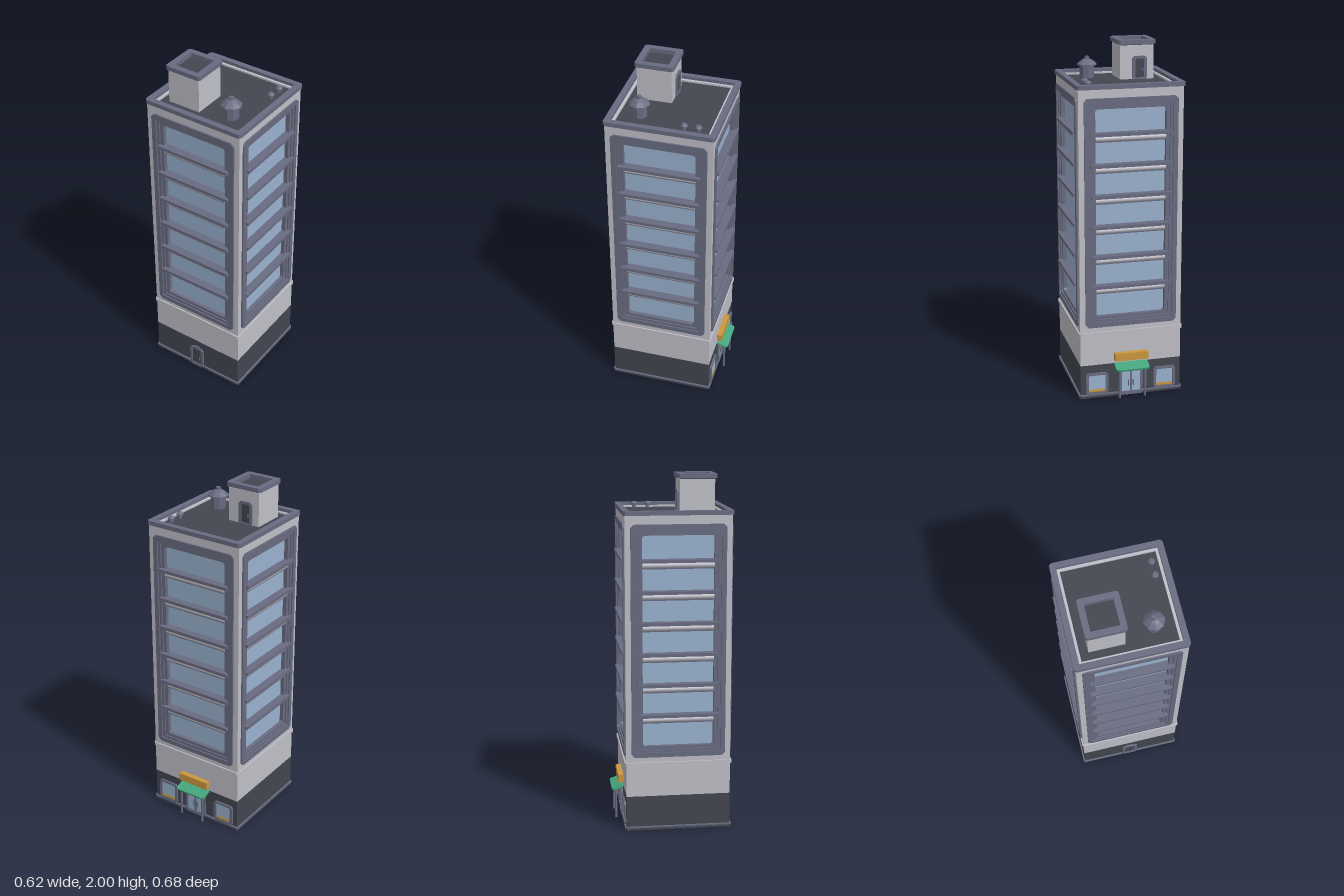
import * as THREE from 'three';

const mat = (name, color) => {
  const m = new THREE.MeshStandardMaterial({ color });
  m.name = name;
  return m;
};

export function createModel() {
  const trim = mat('slate trim', 0x696c81);
  const wall = mat('pale wall', 0xc0bfc8);
  const dark = mat('charcoal', 0x42464f);
  const glass = mat('blue glass', 0x9ab2cf);
  const green = mat('awning green', 0x45a57c);
  const gold = mat('sign gold', 0xcb983f);

  const root = new THREE.Group();
  root.name = 'tower';
  const building = new THREE.Group();
  building.name = 'building';
  building.position.z = 0.025;
  root.add(building);

  const add = (parent, name, geo, material, x = 0, y = 0, z = 0) => {
    const m = new THREE.Mesh(geo, material);
    m.name = name;
    m.position.set(x, y, z);
    parent.add(m);
    return m;
  };
  const box = (parent, name, w, h, d, material, x, y, z) =>
    add(parent, name, new THREE.BoxGeometry(w, h, d), material, x, y, z);

  // Rectangle with cut corners, as points
  const cutRect = (w, h, c) => {
    const a = w / 2, b = h / 2;
    return [[-a + c, -b], [a - c, -b], [a, -b + c], [a, b - c], [a - c, b], [-a + c, b], [-a, b - c], [-a, -b + c]]
      .map(p => new THREE.Vector2(...p));
  };
  // Cut-corner ring (or plate when there is no hole), extruded toward +z
  const ring = (w, h, c, hw, hh, hc, depth) => {
    const s = new THREE.Shape(cutRect(w, h, c));
    if (hw) s.holes.push(new THREE.Path(cutRect(hw, hh, hc)));
    return new THREE.ExtrudeGeometry(s, { depth, bevelEnabled: false });
  };
  const flatRing = (...args) => ring(...args).rotateX(-Math.PI / 2);

  // Ground floor
  add(building, 'plinth', flatRing(0.606, 0.606, 0.008, 0, 0, 0, 0.02), dark);
  add(building, 'plinthEdge', flatRing(0.608, 0.608, 0.008, 0.58, 0.58, 0.002, 0.008), trim, 0, 0.013, 0);
  box(building, 'darkBase', 0.59, 0.18, 0.59, dark, 0, 0.11, 0);
  box(building, 'paleBase', 0.59, 0.2, 0.59, wall, 0, 0.3, 0);
  add(building, 'ledge', flatRing(0.606, 0.606, 0.008, 0, 0, 0, 0.02), wall, 0, 0.38, 0);

  // Glass core behind the four facades
  box(building, 'glassCore', 0.53, 1.3, 0.53, glass, 0, 1.08, 0);

  const midY = 1.083;
  for (let k = 0; k < 4; k++) {
    const side = new THREE.Group();
    side.name = 'facade' + (k + 1);
    side.rotation.y = k * Math.PI / 2;
    building.add(side);
    // Wall with a large opening
    const s = new THREE.Shape([[-0.295, 0.4], [0.295, 0.4], [0.295, 1.79], [-0.295, 1.79]]
      .map(p => new THREE.Vector2(...p)));
    s.holes.push(new THREE.Path([[-0.235, 0.46], [-0.235, 1.705], [0.235, 1.705], [0.235, 0.46]]
      .map(p => new THREE.Vector2(...p))));
    add(side, 'wallPanel', new THREE.ExtrudeGeometry(s, { depth: 0.04, bevelEnabled: false }), wall, 0, 0, 0.255);
    // Stepped window frame
    add(side, 'outerFrame', ring(0.528, 1.306, 0.018, 0.474, 1.252, 0.008, 0.034), trim, 0, midY, 0.27);
    add(side, 'middleFrame', ring(0.476, 1.254, 0.006, 0.44, 1.22, 0.006, 0.034), trim, 0, midY, 0.262);
    add(side, 'innerFrame', ring(0.444, 1.224, 0.004, 0.398, 1.184, 0.01, 0.026), trim, 0, midY, 0.262);
    // Floor bars with rounded blinds beneath
    for (let i = 0; i < 6; i++) {
      const y = 0.668 + i * 0.1737;
      box(side, 'floorBar', 0.456, 0.018, 0.05, trim, 0, y, 0.287);
      const blind = new THREE.CylinderGeometry(0.016, 0.016, 0.396, 12).rotateZ(Math.PI / 2);
      add(side, 'blindRoll', blind, wall, 0, y - 0.025, 0.278);
      box(side, 'blindRail', 0.396, 0.006, 0.02, trim, 0, y - 0.043, 0.272);
    }
  }

  // Roof
  box(building, 'roofDeck', 0.57, 0.03, 0.57, dark, 0, 1.765, 0);
  add(building, 'parapet', flatRing(0.606, 0.606, 0.012, 0.54, 0.54, 0.001, 0.024), trim, 0, 1.784, 0);

  // Door surround with a panel, facing +z
  const doorway = (parent, name, w, h, y, z, panel) => {
    const g = new THREE.Group();
    g.name = name;
    g.position.set(0, y + h / 2, z);
    parent.add(g);
    add(g, 'surround', ring(w, h, 0.012, w - 0.032, h - 0.028, 0.006, 0.014), trim, 0, 0, -0.004);
    box(g, 'panel', w - 0.03, h - 0.026, 0.006, panel, 0, 0, 0.001);
    return g;
  };

  // Front door
  const front = doorway(building, 'frontDoor', 0.094, 0.148, 0, 0.295, dark);
  box(front, 'lintel', 0.034, 0.014, 0.012, trim, 0, 0.078, 0.004);
  box(front, 'handle', 0.005, 0.022, 0.008, trim, 0.02, -0.01, 0.006);

  // Shop entrance on the back
  const shop = new THREE.Group();
  shop.name = 'shopEntrance';
  shop.rotation.y = Math.PI;
  building.add(shop);
  const entry = doorway(shop, 'glassDoor', 0.14, 0.165, 0, 0.295, glass);
  box(entry, 'doorSplit', 0.012, 0.14, 0.01, trim, 0, 0, 0.003);
  for (const x of [-1, 1]) {
    box(entry, 'doorHandle', 0.005, 0.035, 0.008, trim, x * 0.014, -0.01, 0.008);
    const win = doorway(shop, 'shopWindow', 0.13, 0.13, 0.022, 0.295, glass);
    win.position.x = x * 0.2;
    box(win, 'windowDisplay', 0.1, 0.016, 0.008, gold, 0, -0.044, 0.002);
    const post = new THREE.CylinderGeometry(0.007, 0.007, 0.18, 8);
    add(shop, 'awningPost', post, trim, x * 0.075, 0.09, 0.338);
  }
  // Sloping awning with cut outer corners
  const awning = new THREE.Shape([[-0.098, 0], [0.098, 0], [0.098, 0.06], [0.085, 0.071], [-0.085, 0.071], [-0.098, 0.06]]
    .map(p => new THREE.Vector2(...p)));
  const awningGeo = new THREE.ExtrudeGeometry(awning, { depth: 0.012, bevelEnabled: false });
  add(shop, 'awning', awningGeo.rotateX(Math.PI / 2 + 0.32), green, 0, 0.203, 0.296);
  box(shop, 'sign', 0.196, 0.046, 0.032, gold, 0, 0.243, 0.309);

  // Stair house on the roof
  const stair = new THREE.Group();
  stair.name = 'stairHouse';
  stair.position.set(-0.114, 0, 0.138);
  root.add(stair);
  box(stair, 'stairWalls', 0.194, 0.195, 0.194, wall, 0, 1.8725, 0);
  box(stair, 'stairDeck', 0.18, 0.01, 0.18, dark, 0, 1.968, 0);
  add(stair, 'stairParapet', flatRing(0.216, 0.216, 0.01, 0.149, 0.149, 0.001, 0.024), trim, 0, 1.976, 0);
  const back = new THREE.Group();
  back.name = 'stairDoorSide';
  back.rotation.y = Math.PI;
  stair.add(back);
  const roofDoor = doorway(back, 'roofDoor', 0.084, 0.135, 1.775, 0.097, dark);
  roofDoor.position.x = 0.014;
  box(roofDoor, 'handle', 0.005, 0.02, 0.008, trim, 0.018, -0.008, 0.006);

  // Eight-sided turned parts on the roof
  const turned = (name, profile, x, z) => {
    const geo = new THREE.LatheGeometry(profile.map(p => new THREE.Vector2(...p)), 8).toNonIndexed();
    geo.computeVertexNormals();
    add(root, name, geo, trim, x, 0, z);
  };
  turned('waterTank', [[0, 1.77], [0.042, 1.77], [0.042, 1.85], [0.058, 1.85], [0.058, 1.857],
    [0.036, 1.876], [0.014, 1.888], [0.014, 1.9], [0, 1.9]], 0.145, 0.172);
  for (const z of [-0.17, -0.092])
    turned('roofVent', [[0, 1.77], [0.011, 1.77], [0.011, 1.8], [0.02, 1.8], [0.02, 1.808],
      [0.012, 1.817], [0, 1.817]], 0.218, z);

  return root;
}
